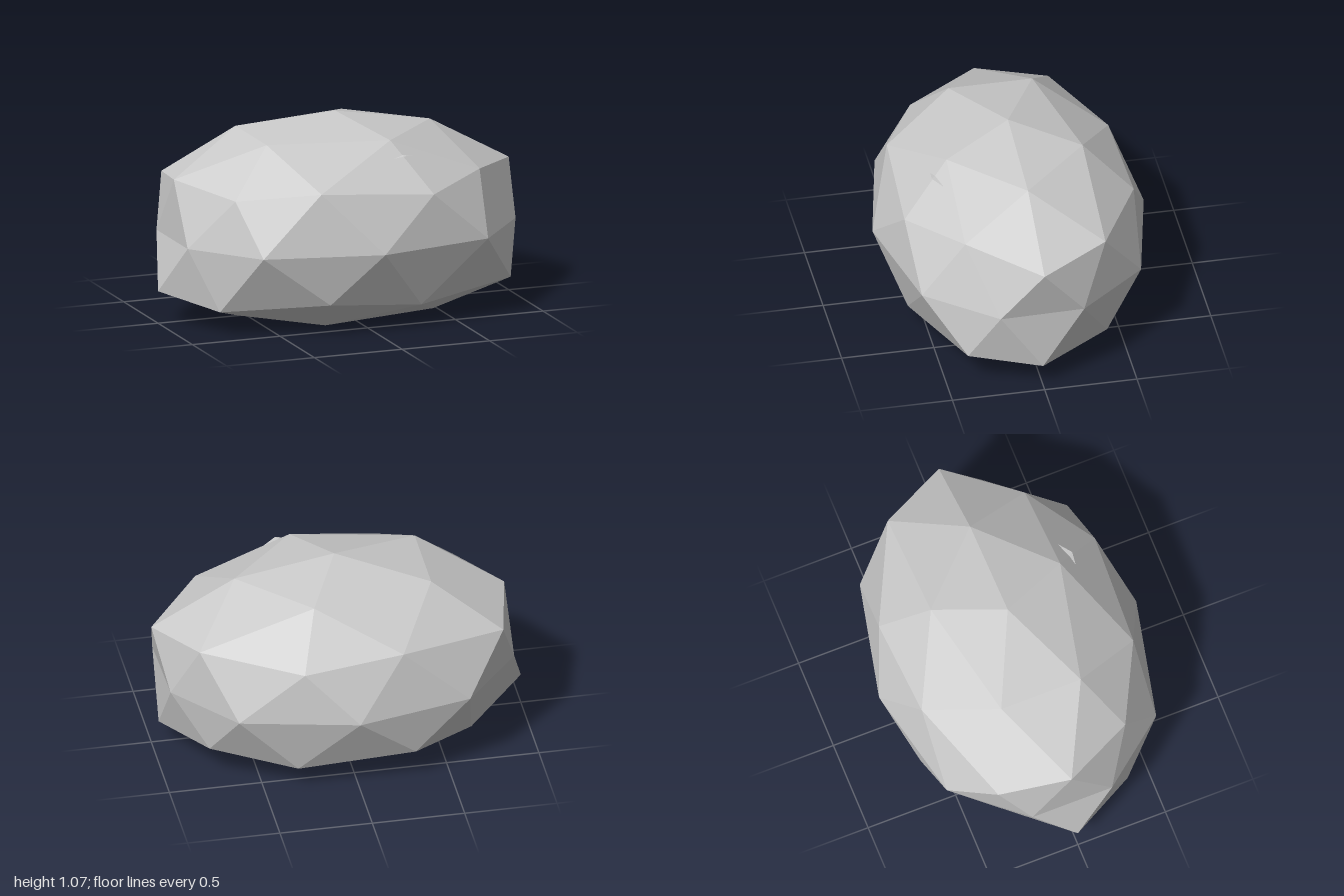
import * as THREE from 'three';

const MID = 0.452, HALF_Y = 0.62, HALF_Z = 0.735;

// One ring of the faceted boulder: unit height, unit radius, start angle, uneven x positions
function ring(height, radius, start, xs) {
  const y = Math.max(0, MID + height * HALF_Y);
  return xs.map((x, i) => {
    const a = THREE.MathUtils.degToRad(start + (i * 360) / xs.length);
    return new THREE.Vector3(x, y, Math.sin(a) * radius * HALF_Z);
  });
}

function facetedGeometry(points) {
  const geometry = new THREE.BufferGeometry().setFromPoints(points);
  geometry.computeVertexNormals();
  return geometry;
}

function boulderGeometry() {
  const top = new THREE.Vector3(0.01, MID + HALF_Y, 0);
  const base = new THREE.Vector3(0, 0, 0);
  const A = ring(0.851, 0.526, 0, [0.55, 0.18, -0.47, -0.47, 0.19]);
  const B = ring(0.447, 0.894, 0, [1, 0.33, -0.71, -0.83, 0.29]);
  const C = ring(0.526, 0.851, 36, [0.69, -0.3, -0.91, -0.25, 0.81]);
  const E = ring(0, 1, 18, [0.95, 0.65, 0.01, -0.63, -0.92, -0.92, -0.61, 0.01, 0.64, 0.94]);
  const D = ring(-0.447, 0.894, 36, [0.86, -0.26, -1, -0.31, 0.76]);
  const F = ring(-0.526, 0.851, 0, [0.96, 0.27, -0.79, -0.66, 0.32]);
  const G = ring(-0.851, 0.526, 36, [0.48, -0.19, -0.54, -0.14, 0.48]);

  const points = [];
  const centre = new THREE.Vector3(0, MID, 0);
  // Add a triangle, turned to face outward
  const face = (a, b, c) => {
    const n = b.clone().sub(a).cross(c.clone().sub(a));
    const out = a.clone().add(b).add(c).divideScalar(3).sub(centre);
    points.push(...(n.dot(out) > 0 ? [a, b, c] : [a, c, b]));
  };

  // Five matching sectors
  for (let k = 0; k < 5; k++) {
    const n = (k + 1) % 5;
    const e0 = E[(2 * k + 9) % 10], e1 = E[2 * k], e2 = E[2 * k + 1];
    // upper half
    face(top, A[k], A[n]);
    face(A[k], B[k], C[k]);
    face(A[k], C[k], A[n]);
    face(A[n], C[k], B[n]);
    face(B[k], e0, e1);
    face(B[k], e1, C[k]);
    face(C[k], e1, e2);
    face(C[k], e2, B[n]);
    // lower half
    face(e1, e2, D[k]);
    face(e0, e1, F[k]);
    face(F[k], D[k], e1);
    face(D[k], F[n], e2);
    face(G[k], D[k], F[k]);
    face(G[k], F[n], D[k]);
    face(G[k], G[n], F[n]);
    face(base, G[k], G[n]);
  }
  return facetedGeometry(points);
}

// Two thin blades drooping either side of a short ridge
function chipGeometry() {
  const back = new THREE.Vector3(0.21, 0.912, 0.422);
  const front = new THREE.Vector3(0.24, 0.91, 0.46);
  const leftTip = new THREE.Vector3(0.31, 0.898, 0.41);
  const rightTip = new THREE.Vector3(0.14, 0.894, 0.45);
  return facetedGeometry([back, front, leftTip, back, rightTip, front]);
}

export function createModel() {
  const model = new THREE.Group();
  model.name = 'boulder';
  const stone = new THREE.MeshStandardMaterial({
    color: 0xc9c9c9, flatShading: true, side: THREE.DoubleSide,
  });
  stone.name = 'pale grey stone';

  const rock = new THREE.Mesh(boulderGeometry(), stone);
  rock.name = 'rock';
  model.add(rock);

  // Small flat chip lodged in the upper front slope
  const chip = new THREE.Mesh(chipGeometry(), stone);
  chip.name = 'chip';
  model.add(chip);

  return model;
}
